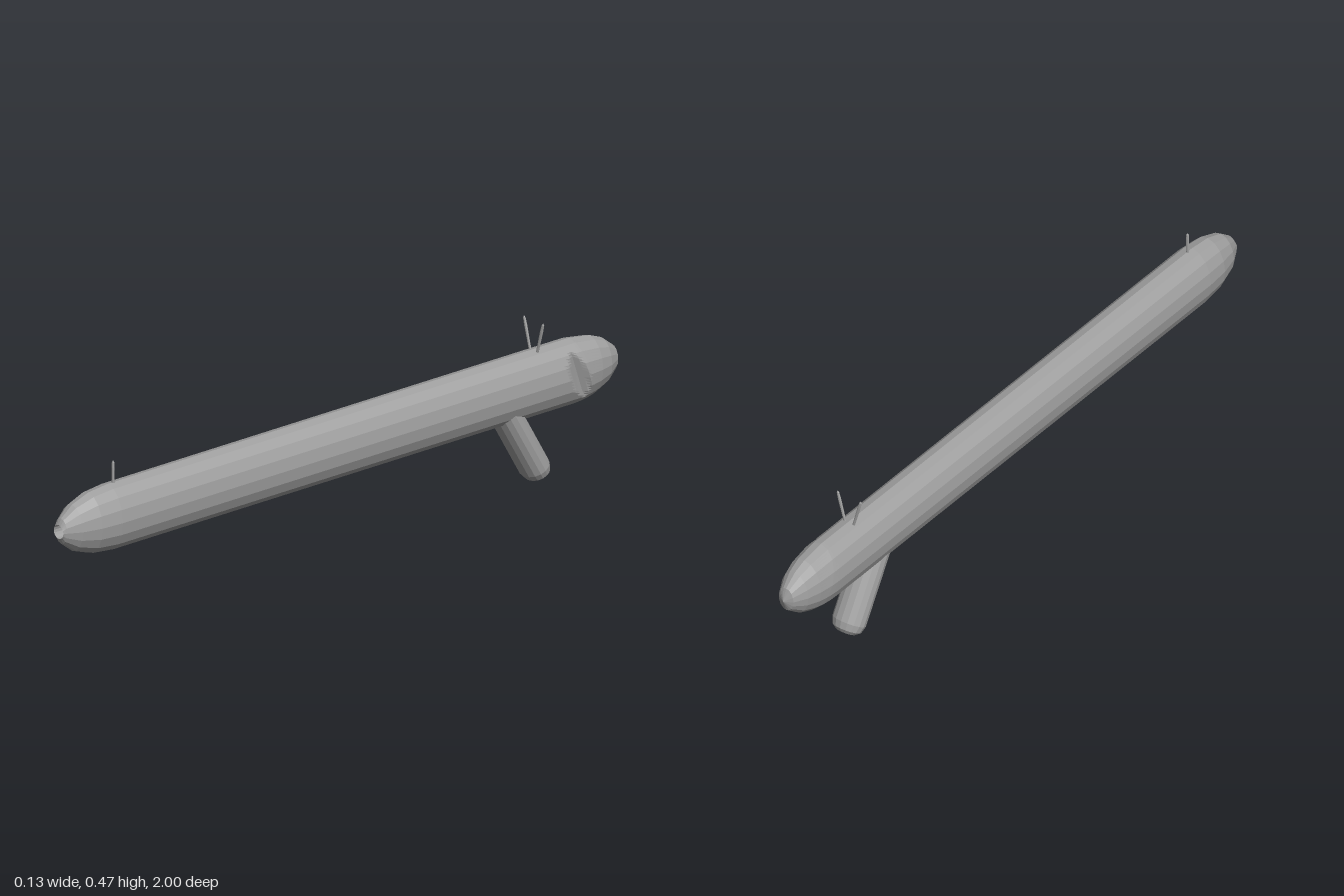
import * as THREE from 'three';

const SIDES = 16, SUB = 4, RX = 0.065, RY = 0.095, CY = 0.285;
const DOME = 0.82, TIP = 0.18;

const facet = (g) => {
  const f = g.index ? g.toNonIndexed() : g;
  f.deleteAttribute('normal');
  f.computeVertexNormals();
  return f;
};

// Unit outline: a polygon with each edge subdivided
function outline() {
  const pts = [];
  for (let i = 0; i < SIDES; i++) {
    for (let k = 0; k < SUB; k++) {
      const a = (i / SIDES) * Math.PI * 2, b = ((i + 1) / SIDES) * Math.PI * 2, t = k / SUB;
      pts.push([
        Math.cos(a) * (1 - t) + Math.cos(b) * t,
        Math.sin(a) * (1 - t) + Math.sin(b) * t,
      ]);
    }
  }
  return pts;
}

// Joins cross-sections ordered from back to front
function loft(rings) {
  const n = rings[0].length, index = [];
  for (let i = 0; i < rings.length - 1; i++) {
    for (let j = 0; j < n; j++) {
      const a = i * n + j, b = i * n + ((j + 1) % n);
      index.push(a, b, b + n, a, b + n, a + n);
    }
  }
  const g = new THREE.BufferGeometry();
  g.setAttribute('position', new THREE.Float32BufferAttribute(rings.flat(2), 3));
  g.setIndex(index);
  return facet(g);
}

// Body scale along z, with an elliptical dome at each end
const scaleAt = (z) => {
  const t = Math.max(0, Math.abs(z) - DOME) / TIP;
  return Math.sqrt(Math.max(0, 1 - t * t));
};

function bodyGeometry() {
  const unit = outline();
  const ring = (z) => unit.map(([x, y]) => [x * RX * scaleAt(z), CY + y * RY * scaleAt(z), z]);
  const circle = (r, z) => unit.map(([x, y]) => [x * r, CY + y * r, z]);
  // Slanted cross-section with the left flank cut back to form the notch
  const notch = (dz) => unit.map(([x, y]) => {
    const z = -0.827 + dz + 0.33 * y * RY;
    const limit = 0.041 + (dz > 0 ? dz * 0.55 : -dz * 0.85);
    return [Math.min(x * RX * scaleAt(z), limit), CY + y * RY * scaleAt(z), z];
  });
  return loft([
    ...[-1, -0.986, -0.947, -0.905].map(ring),
    ...[-0.035, -0.025, -0.012, 0, 0.015, 0.03, 0.046].map(notch),
    ...[-0.74, DOME, 0.889, 0.947, 0.986].map(ring),
    // Round bore in the front tip
    circle(0.02, 0.995), circle(0.02, 0.95), circle(0, 0.95),
  ]);
}

const lathe = (profile, sides) =>
  new THREE.LatheGeometry(profile.map(([r, y]) => new THREE.Vector2(r, y)), sides);

export function createModel() {
  const group = new THREE.Group();
  const grey = new THREE.MeshStandardMaterial({ color: 0xa0a0a0 });
  grey.name = 'grey';

  const add = (name, geometry) => {
    const mesh = new THREE.Mesh(geometry, grey);
    mesh.name = name;
    group.add(mesh);
    return mesh;
  };

  add('body', bodyGeometry());

  // Slanted grip with rounded ends
  const gripShape = lathe([
    [0, 0], [0.03, 0.004], [0.043, 0.014], [0.05, 0.035],
    [0.05, 0.255], [0.043, 0.27], [0, 0.275],
  ], 16);
  gripShape.scale(1, 1, 0.84);
  const grip = add('grip', facet(gripShape));
  grip.rotation.x = Math.PI / 6;
  grip.position.set(0, 0.009, -0.723);

  // Sighting pins: one at the front, a splayed pair at the rear
  const pin = (name, x, z, height, lean) => {
    const shape = lathe([
      [0, 0], [0.004, 0], [0.005, height * 0.75], [0.004, height - 0.006], [0, height],
    ], 8);
    shape.scale(1, 1, 0.8);
    const mesh = add(name, facet(shape));
    mesh.position.set(x, 0.36, z);
    mesh.rotation.z = -lean;
  };
  pin('frontSight', 0, 0.8, 0.084, 0);
  for (const side of [-1, 1]) {
    pin(side > 0 ? 'rearSightLeft' : 'rearSightRight', side * 0.011, -0.705, 0.11, side * 0.27);
  }

  return group;
}
